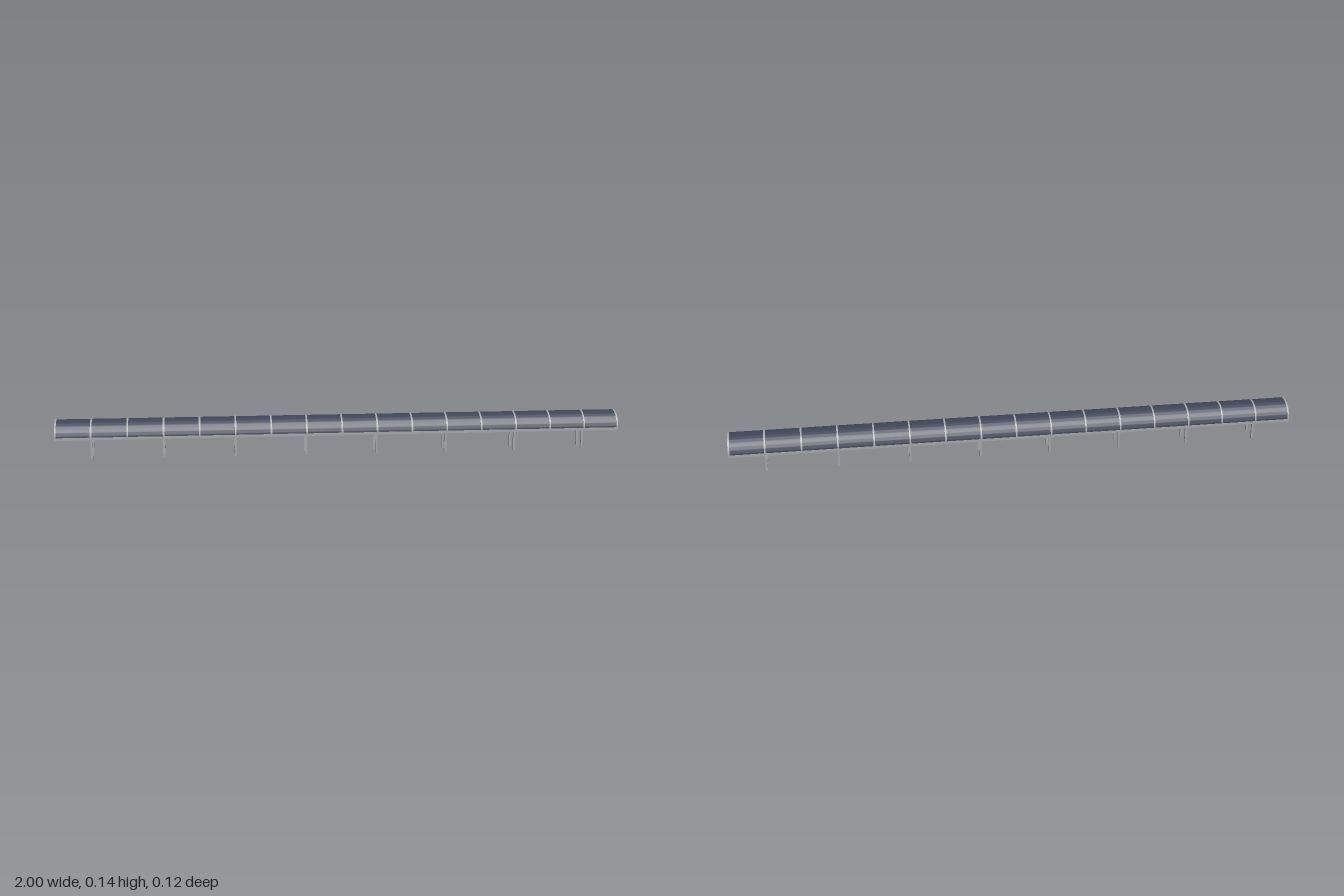
import * as THREE from 'three';
import { toCreasedNormals } from 'three/addons/utils/BufferGeometryUtils.js';

const AXIS_Y = 0.0765; // height of the vault's centre line
const BAY = 0.125;

// Half-ring section swept along x, centred on x = 0
function archGeometry(inner, outer, length) {
  const shape = new THREE.Shape();
  shape.absarc(0, 0, outer, 0, Math.PI, false);
  shape.absarc(0, 0, inner, Math.PI, 0, true);
  shape.closePath();
  const geo = new THREE.ExtrudeGeometry(shape, { depth: length, bevelEnabled: false, curveSegments: 24 });
  geo.translate(0, 0, -length / 2);
  geo.rotateY(Math.PI / 2);
  return toCreasedNormals(geo, 0.6);
}

// Square bar between two points
function bar(name, a, b, width, material) {
  const dir = b.clone().sub(a);
  const mesh = new THREE.Mesh(new THREE.BoxGeometry(width, dir.length(), width), material);
  mesh.name = name;
  mesh.position.copy(a).add(b).multiplyScalar(0.5);
  mesh.quaternion.setFromUnitVectors(new THREE.Vector3(0, 1, 0), dir.normalize());
  return mesh;
}

export function createModel() {
  const roofBlue = new THREE.MeshStandardMaterial({ color: 0x3d4455 });
  roofBlue.name = 'roofBlue';
  const steelGrey = new THREE.MeshStandardMaterial({ color: 0xa2a5a6 });
  steelGrey.name = 'steelGrey';

  const model = new THREE.Group();
  model.name = 'barrelCanopy';

  // Curved roof
  const roof = new THREE.Mesh(archGeometry(0.0545, 0.0595, 1.992), roofBlue);
  roof.name = 'roofShell';
  roof.position.y = AXIS_Y;
  model.add(roof);

  // Arched ribs, one per half bay, hidden from inside by the shell
  const ribGeo = archGeometry(0.0549, 0.061, 0.006);
  for (let i = 0; i <= 16; i++) {
    const rib = new THREE.Mesh(ribGeo, steelGrey);
    rib.name = 'rib';
    rib.position.set(THREE.MathUtils.clamp(-1 + i * BAY, -0.997, 0.997), AXIS_Y, 0);
    model.add(rib);
  }

  // Eave rails along both long edges
  for (const side of [-1, 1]) {
    const rail = new THREE.Mesh(new THREE.BoxGeometry(2, 0.009, 0.008), steelGrey);
    rail.name = 'eaveRail';
    rail.position.set(0, AXIS_Y, side * 0.0575);
    model.add(rail);
  }

  // Branching columns: a post with struts reaching the neighbouring ribs
  for (let i = 0; i < 8; i++) {
    const x = -0.875 + i * 0.25;
    for (const side of [-1, 1]) {
      const column = new THREE.Group();
      column.name = 'branchColumn';
      const top = new THREE.Vector3(x, 0.07, side * 0.031);
      column.add(bar('post', new THREE.Vector3(x, 0, side * 0.031), top, 0.0075, steelGrey));
      for (const dx of [-BAY / 2, BAY / 2]) {
        column.add(bar('outerStrut', top, new THREE.Vector3(x + dx, 0.106, side * 0.0465), 0.0038, steelGrey));
        column.add(bar('innerStrut', top, new THREE.Vector3(x + dx, 0.131, side * 0.0125), 0.0032, steelGrey));
      }
      model.add(column);
    }
  }
  return model;
}
